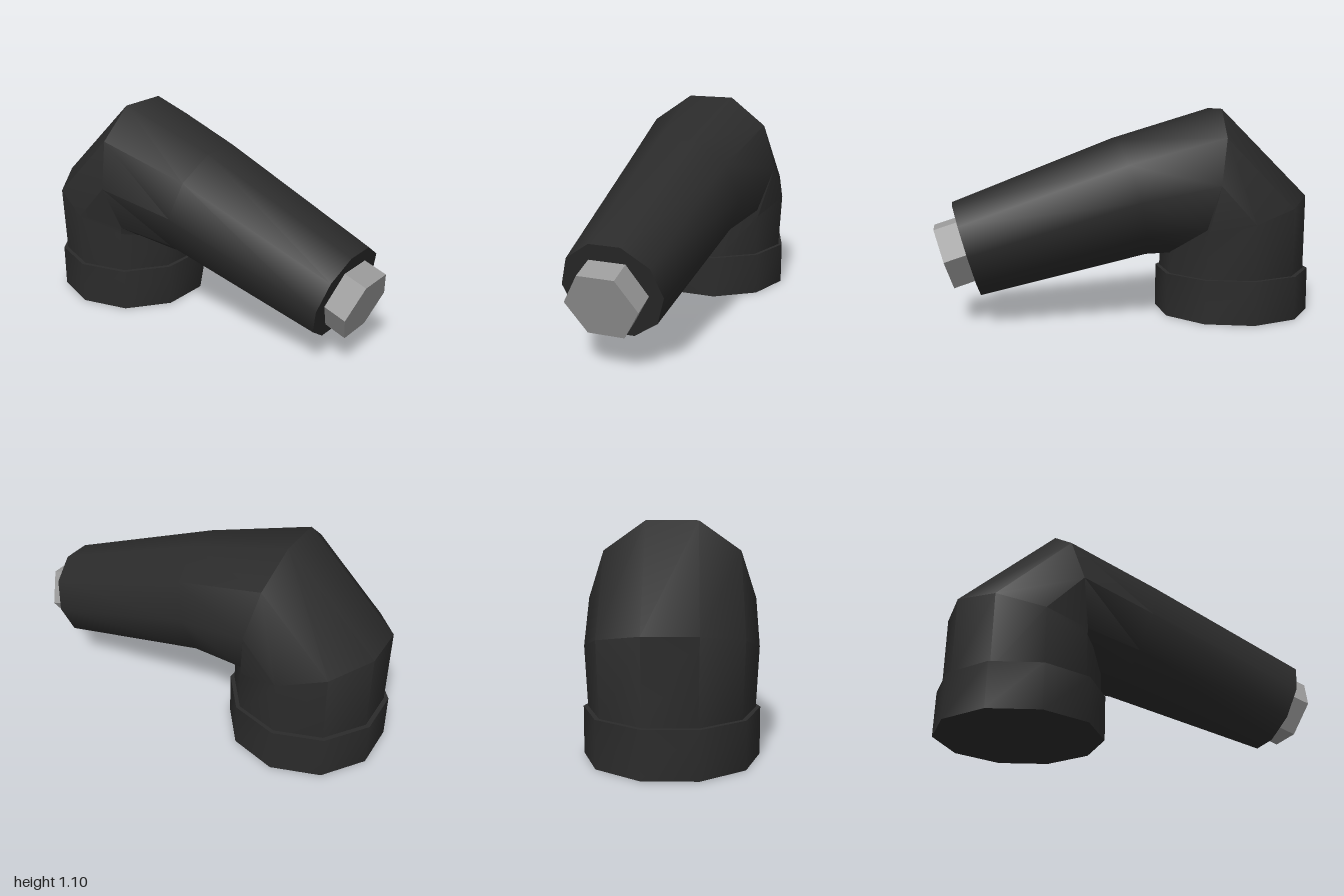
import * as THREE from 'three';
import { toCreasedNormals } from 'three/addons/utils/BufferGeometryUtils.js';

// Capped loft of regular polygons with n sides. Each ring is given by the
// middles of two opposite flats in the x = 0 plane: [outerZ, outerY, innerZ, innerY].
function loft(rings, n, crease) {
  const positions = [];
  const index = [];
  const apothem = Math.cos(Math.PI / n);
  for (const [z0, y0, z1, y1] of rings) {
    const dz = (z0 - z1) / 2, dy = (y0 - y1) / 2;
    const radius = Math.hypot(dz, dy) / apothem;
    for (let i = 0; i < n; i++) {
      const a = ((i + 0.5) / n) * Math.PI * 2;
      const t = Math.cos(a) / apothem;
      positions.push(Math.sin(a) * radius, (y0 + y1) / 2 + dy * t, (z0 + z1) / 2 + dz * t);
    }
  }
  // Side walls
  for (let r = 0; r < rings.length - 1; r++) {
    for (let i = 0; i < n; i++) {
      const j = (i + 1) % n;
      const a = r * n + i, b = r * n + j;
      index.push(a, a + n, b, b, a + n, b + n);
    }
  }
  // End caps
  const last = (rings.length - 1) * n;
  for (let i = 1; i < n - 1; i++) {
    index.push(0, i, i + 1, last, last + i + 1, last + i);
  }
  const geometry = new THREE.BufferGeometry();
  geometry.setAttribute('position', new THREE.Float32BufferAttribute(positions, 3));
  geometry.setIndex(index);
  return toCreasedNormals(geometry, crease);
}

export function createModel() {
  const group = new THREE.Group();
  const rubber = new THREE.MeshStandardMaterial({ color: 0x2b2b2b });
  rubber.name = 'black rubber';
  const metal = new THREE.MeshStandardMaterial({ color: 0x9a9a9a });
  metal.name = 'grey metal';

  const add = (name, geometry, material) => {
    const mesh = new THREE.Mesh(geometry, material);
    mesh.name = name;
    group.add(mesh);
  };

  // Collar standing on the ground
  add('baseCollar', loft([
    [-1.0, 0, -0.205, 0],
    [-1.0, 0.23, -0.205, 0.23],
  ], 10, 0.7), rubber);

  // Bent body: upright neck, elbow and tapering arm
  add('elbowBody', loft([
    [-0.977, 0.2, -0.225, 0.2],
    [-0.98, 0.63, -0.23, 0.41],
    [-0.5, 1.1, -0.34, 0.345],
    [0.05, 0.94, -0.1, 0.335],
    [0.905, 0.615, 0.77, 0.145],
  ], 10, 0.7), rubber);

  // Hexagonal plug sticking out of the arm
  add('hexPlug', loft([
    [0.857, 0.54, 0.762, 0.235],
    [1.0, 0.495, 0.905, 0.19],
  ], 6, 0.5), metal);

  return group;
}
